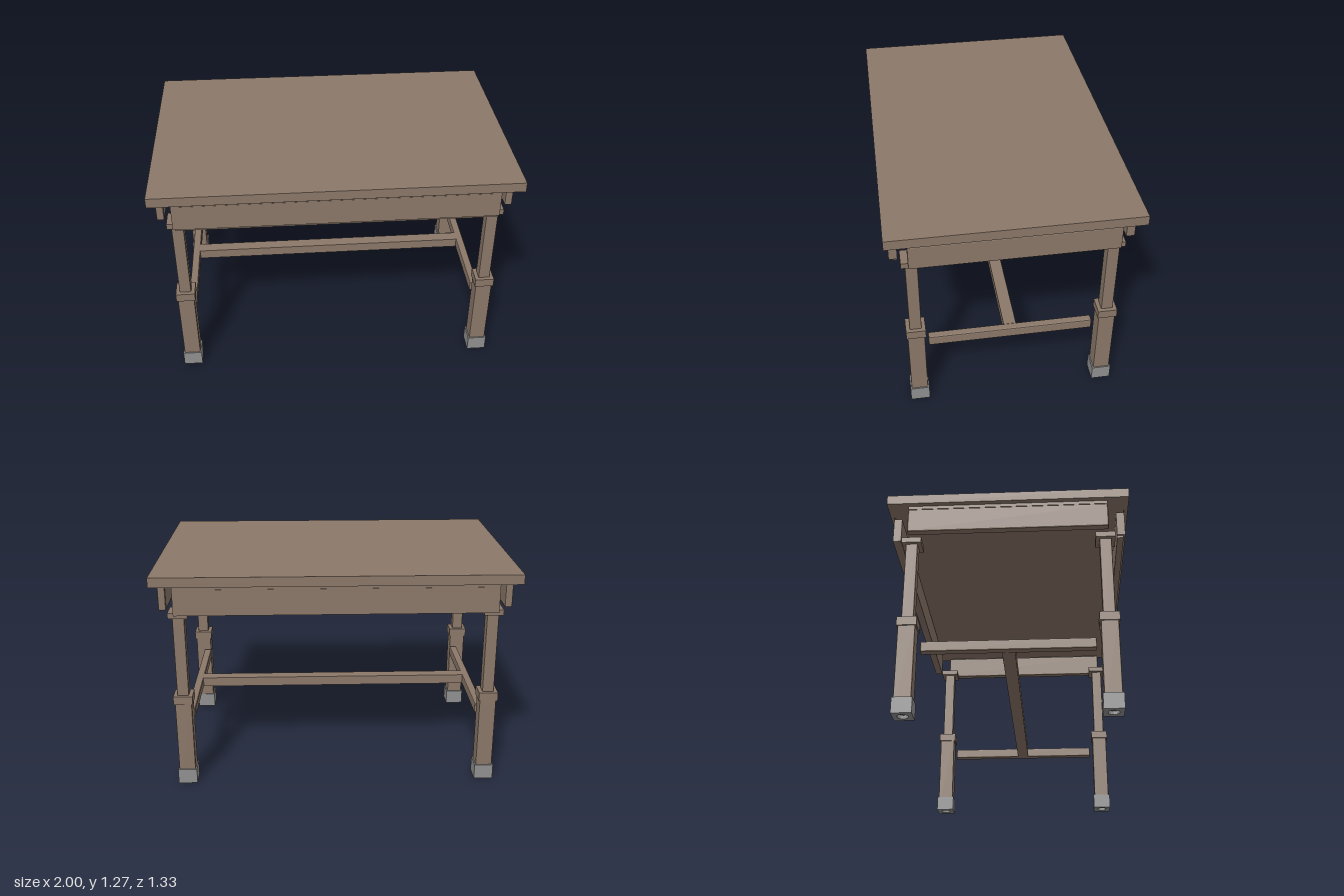
import * as THREE from 'three';
import { RoundedBoxGeometry } from 'three/addons/geometries/RoundedBoxGeometry.js';

const wood = new THREE.MeshStandardMaterial({ color: 0x8b7869 });
wood.name = 'brown wood';
const metal = new THREE.MeshStandardMaterial({ color: 0x909090 });
metal.name = 'grey metal';
const sheet = wood.clone();
sheet.name = 'brown wood sheet';
sheet.side = THREE.DoubleSide;

// Box given by its limits on each axis, with optional chamfered edges
function block(parent, name, [x0, x1], [y0, y1], [z0, z1], bevel = 0) {
  const size = [x1 - x0, y1 - y0, z1 - z0];
  const geo = bevel ? new RoundedBoxGeometry(...size, 1, bevel) : new THREE.BoxGeometry(...size);
  if (bevel) geo.computeVertexNormals(); // flat chamfers
  const mesh = new THREE.Mesh(geo, wood);
  mesh.name = name;
  mesh.position.set((x0 + x1) / 2, (y0 + y1) / 2, (z0 + z1) / 2);
  parent.add(mesh);
  return mesh;
}

// Square metal foot with a round socket in its underside
function footGeometry(half, height) {
  const shape = new THREE.Shape([
    new THREE.Vector2(-half, -half), new THREE.Vector2(half, -half),
    new THREE.Vector2(half, half), new THREE.Vector2(-half, half),
  ]);
  const hole = new THREE.Path();
  hole.absarc(0, 0, 0.03, 0, Math.PI * 2, true);
  shape.holes.push(hole);
  const geo = new THREE.ExtrudeGeometry(shape, { depth: height, bevelEnabled: false, curveSegments: 6 });
  return geo.rotateX(-Math.PI / 2);
}

// Telescopic leg, built around its own centre line
function makeLeg(footGeo) {
  const leg = new THREE.Group();
  leg.name = 'leg';
  const square = (name, half, y, bevel) => block(leg, name, [-half, half], y, [-half, half], bevel);
  const foot = new THREE.Mesh(footGeo, metal);
  foot.name = 'foot';
  leg.add(foot);
  square('lowerPost', 0.047, [0.02, 0.505], 0.005);
  square('collar', 0.054, [0.5, 0.55]);
  square('upperPost', 0.033, [0.548, 1.02], 0.005);
  square('legCap', 0.054, [1.015, 1.047]);
  return leg;
}

// Thin upright strip closing the gap between an apron and the top
function strip(parent, width, x, z, turn) {
  const mesh = new THREE.Mesh(new THREE.PlaneGeometry(width, 0.02), sheet);
  mesh.name = 'apronStrip';
  mesh.position.set(x, 1.205, z);
  mesh.rotation.y = turn;
  parent.add(mesh);
}

export function createModel() {
  const table = new THREE.Group();
  table.name = 'table';

  block(table, 'tableTop', [-1, 1], [1.215, 1.27], [-0.667, 0.667]);

  const footGeo = footGeometry(0.054, 0.088);
  for (const s of [-1, 1]) {
    const span = (a, b) => (s > 0 ? [a, b] : [-b, -a]);

    // Aprons under the top
    block(table, 'longApron', [-0.88, 0.88], [1.05, 1.196], span(0.6, 0.645));
    block(table, 'endApron', span(0.93, 0.972), [1.05, 1.196], [-0.552, 0.552], 0.008);
    strip(table, 1.76, 0, s * 0.644, 0);
    strip(table, 1.1, s * 0.971, 0, Math.PI / 2);

    // Legs and the rail joining each pair
    for (const t of [-1, 1]) {
      const leg = makeLeg(footGeo);
      leg.position.set(s * 0.866, 0, t * 0.534);
      table.add(leg);
    }
    block(table, 'endRail', span(0.815, 0.86), [0.37, 0.43], [-0.465, 0.465], 0.007);
  }

  // Lip below the front apron and the long middle rail
  block(table, 'frontLip', [-0.87, 0.87], [1.036, 1.05], [0.6, 0.635]);
  block(table, 'middleRail', [-0.818, 0.818], [0.373, 0.43], [-0.035, 0.035]);
  return table;
}
